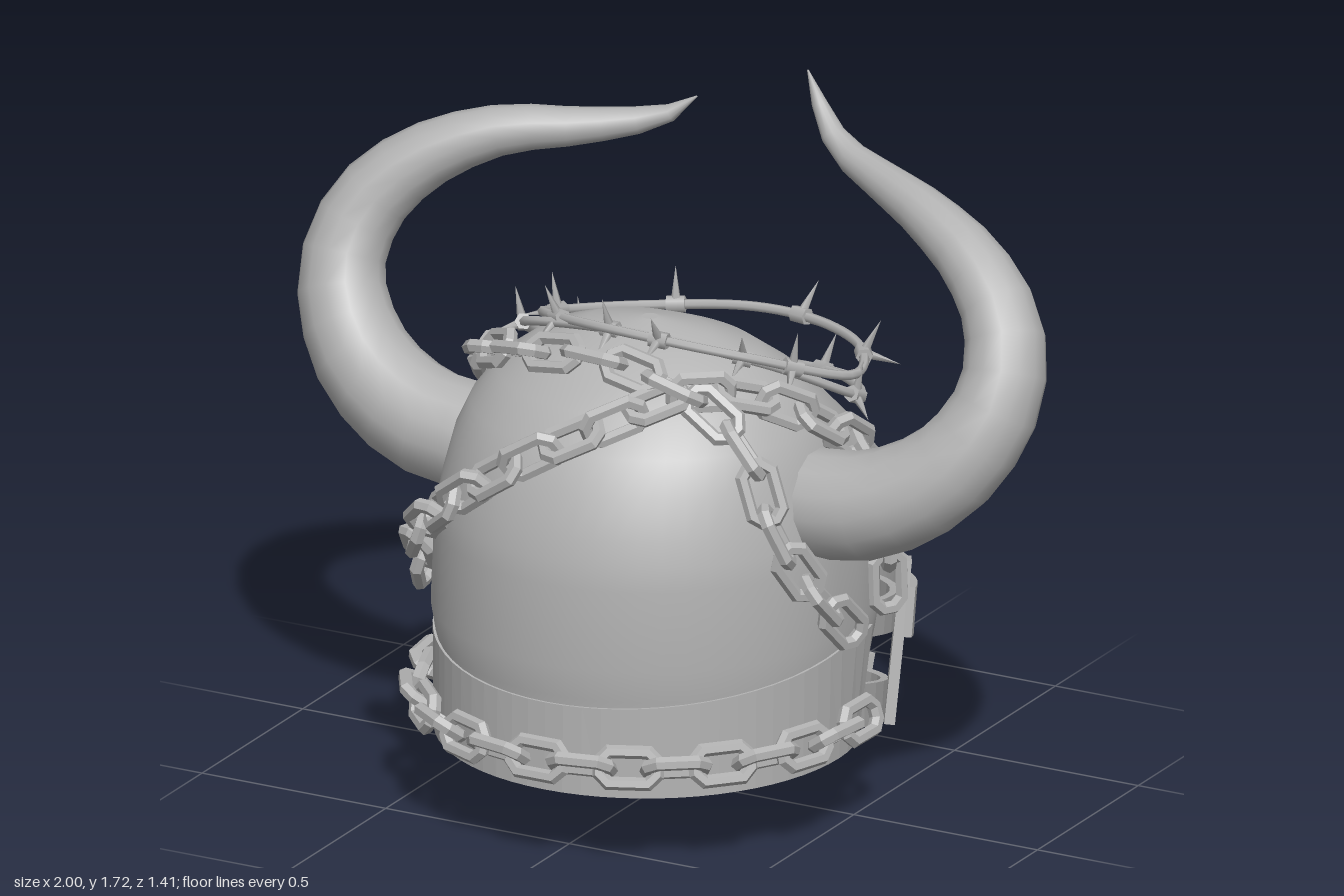
import * as THREE from 'three';

const V = (x, y, z) => new THREE.Vector3(x, y, z);
const rad = THREE.MathUtils.degToRad;
const { smoothstep, clamp, lerp } = THREE.MathUtils;
const CZ = 0.1; // helmet axis in z

// Skin over closed loops of points, with end caps
function loft(rings, flat = false) {
  const n = rings[0].length, pos = [], idx = [];
  rings.forEach(r => r.forEach(p => pos.push(p.x, p.y, p.z)));
  for (let i = 0; i < rings.length - 1; i++)
    for (let j = 0; j < n; j++) {
      const a = i * n + j, b = i * n + (j + 1) % n;
      idx.push(a, b, b + n, a, b + n, a + n);
    }
  [[rings[0], true], [rings[rings.length - 1], false]].forEach(([ring, first]) => {
    const base = pos.length / 3;
    const c = ring.reduce((s, p) => s.add(p), V(0, 0, 0)).divideScalar(n);
    [...ring, c].forEach(p => pos.push(p.x, p.y, p.z));
    for (let j = 0; j < n; j++) {
      const a = base + j, b = base + (j + 1) % n;
      first ? idx.push(b, a, base + n) : idx.push(a, b, base + n);
    }
  });
  let g = new THREE.BufferGeometry();
  g.setAttribute('position', new THREE.Float32BufferAttribute(pos, 3));
  g.setIndex(idx);
  if (flat) g = g.toNonIndexed();
  g.computeVertexNormals();
  return g;
}

// Helmet profile: y, half width, front z, back z
const PROFILE = [
  [0.18, 0.5, 0.61, -0.36], [0.32, 0.505, 0.61, -0.4], [0.42, 0.51, 0.615, -0.41],
  [0.5, 0.522, 0.63, -0.415], [0.7, 0.515, 0.62, -0.415], [0.76, 0.507, 0.607, -0.42],
  [0.82, 0.495, 0.595, -0.455], [0.92, 0.47, 0.56, -0.375], [1.0, 0.435, 0.51, -0.3],
  [1.08, 0.375, 0.44, -0.21], [1.15, 0.28, 0.34, -0.11], [1.195, 0.16, 0.22, 0],
  [1.215, 0.02, 0.12, 0.08],
];
// Point on the helmet: t = angle from the front towards +x; the back of the face is squarer
function surface(t, y, off = 0) {
  let i = 0;
  while (i < PROFILE.length - 2 && PROFILE[i + 1][0] < y) i++;
  const a = PROFILE[i], b = PROFILE[i + 1];
  const k = clamp((y - a[0]) / (b[0] - a[0]), 0, 1);
  const [, rx, zf, zb] = a.map((v, m) => lerp(v, b[m], k));
  const s = Math.sin(t), c = Math.cos(t);
  const e = c > 0 ? 1 : 1 - 0.2 * smoothstep(y, 0.2, 0.45) * (1 - smoothstep(y, 0.84, 1));
  const p = V(rx * Math.sign(s) * Math.abs(s) ** e, y,
    CZ + Math.sign(c) * Math.abs(c) ** e * (c > 0 ? zf - CZ : CZ - zb));
  return p.addScaledVector(outward(p), off);
}
const outward = p => V(p.x, Math.max(0, p.y - 0.75), p.z - CZ).normalize();

// Curved flat strip; f(s) gives [inner low, inner high, outer high, outer low]
const strip = (n, f) => loft(Array.from({ length: n + 1 }, (_, i) => f(i / n)), true);

export function createModel() {
  const root = new THREE.Group();
  root.name = 'hornedHelmet';
  const steel = new THREE.MeshStandardMaterial({ color: 0xb2b2b2 });
  steel.name = 'grey';
  const add = (name, geo, parent = root) => {
    const m = new THREE.Mesh(geo, steel);
    m.name = name;
    parent.add(m);
    return m;
  };
  const group = name => {
    const g = new THREE.Group();
    g.name = name;
    root.add(g);
    return g;
  };
  const orient = (m, x, y, z, p) => {
    m.quaternion.setFromRotationMatrix(new THREE.Matrix4().makeBasis(x, y, z));
    m.position.copy(p);
  };

  // Helmet shell and its front band
  add('helmetShell', loft(PROFILE.map(([y]) =>
    Array.from({ length: 56 }, (_, j) => surface(j / 56 * Math.PI * 2, y)))));
  add('lowerBand', strip(40, s => {
    const t = rad(-106 + 212 * s), top = 0.46 - 0.06 * Math.max(0, Math.cos(t));
    return [surface(t, 0.18, -0.02), surface(t, top, -0.02), surface(t, top, 0.006), surface(t, 0.18, 0.015)];
  }));

  // Horns: centre line x, y, z and radius; the last points differ per side
  const hornBase = [[0.42, 0.82, 0.11, 0.135], [0.62, 0.85, 0.11, 0.132], [0.8, 0.96, 0.07, 0.12],
    [0.895, 1.13, 0, 0.105], [0.87, 1.28, -0.07, 0.097], [0.76, 1.4, -0.13, 0.082], [0.58, 1.485, -0.2, 0.062]];
  const leftTip = [[0.42, 1.52, -0.27, 0.047], [0.28, 1.56, -0.33, 0.034], [0.21, 1.64, -0.36, 0.02], [0.18, 1.725, -0.355, 0.002]];
  const rightTip = [[0.4, 1.503, -0.28, 0.046], [0.26, 1.525, -0.34, 0.032], [0.18, 1.555, -0.365, 0.018], [0.13, 1.597, -0.37, 0.002]];
  [['leftHorn', 1, leftTip], ['rightHorn', -1, rightTip]].forEach(([name, side, tip]) => {
    const pts = [...hornBase, ...tip], n = 20;
    const curve = new THREE.CatmullRomCurve3(pts.map(p => V(p[0] * side, p[1], p[2])));
    const fr = curve.computeFrenetFrames(n);
    const rings = fr.normals.map((N, i) => {
      const u = curve.getUtoTmapping(i / n) * (pts.length - 1), k = Math.min(Math.floor(u), pts.length - 2);
      const r = lerp(pts[k][3], pts[k + 1][3], u - k), c = curve.getPointAt(i / n);
      return Array.from({ length: 14 }, (_, j) => {
        const a = j / 14 * Math.PI * 2;
        return c.clone().addScaledVector(N, r * Math.cos(a)).addScaledVector(fr.binormals[i], r * Math.sin(a));
      });
    });
    add(name, loft(rings));
  });

  // Chain link: chunky octagonal ring stretched along x
  let link = new THREE.TorusGeometry(0.041, 0.0175, 6, 8).rotateZ(Math.PI / 8);
  const lp = link.attributes.position;
  for (let i = 0; i < lp.count; i++) lp.setX(i, lp.getX(i) + Math.sign(lp.getX(i)) * 0.032);
  link = link.toNonIndexed();
  link.computeVertexNormals();
  function chain(name, pts, off) {
    const g = group(name);
    const curve = new THREE.CatmullRomCurve3(pts.map(([t, y]) => surface(rad(t), y, off)));
    const n = Math.round(curve.getLength() / 0.112);
    for (let i = 0; i <= n; i++) {
      const p = curve.getPointAt(i / n), x = curve.getTangentAt(i / n);
      const side = outward(p).cross(x).normalize();
      const z = x.clone().cross(side).applyAxisAngle(x, i % 2 ? 0.95 : -0.3);
      orient(add('chainLink', link, g), x, z.clone().cross(x), z, p);
    }
  }
  chain('rimChain', Array.from({ length: 17 }, (_, i) => [-94 + i * 11.75, 0.27]), 0.048);
  chain('diagonalChain', [[-77, 0.53], [-60, 0.67], [-33, 0.84], [-10, 0.97], [14, 1.06], [40, 1.11],
    [68, 1.09], [93, 1.0], [107, 0.85], [107, 0.7], [107, 0.57]], 0.035);
  chain('crownChain', [[85, 0.55], [73, 0.67], [63, 0.82], [58, 0.98], [46, 1.09], [22, 1.14], [-4, 1.155],
    [-32, 1.14], [-62, 1.1], [-90, 1.02], [-107, 0.85], [-107, 0.7], [-107, 0.57]], 0.035);

  // Barbed wire: two loops with wrapped barbs
  const wires = group('barbedWire');
  const wrap = new THREE.CylinderGeometry(0.021, 0.021, 0.045, 6);
  const spike = new THREE.ConeGeometry(0.014, 0.095, 5).translate(0, 0.0475, 0);
  [
    [[-0.36, 1.1, -0.1], [-0.27, 1.18, 0.12], [0, 1.225, 0.25], [0.3, 1.19, 0.18], [0.47, 1.1, -0.05],
      [0.4, 1.1, -0.22], [0.2, 1.09, -0.36], [0, 1.08, -0.39], [-0.25, 1.06, -0.32]],
    [[-0.39, 1.06, -0.05], [-0.31, 1.16, 0.14], [0, 1.21, 0.21], [0.34, 1.16, 0.13], [0.46, 1.03, -0.1],
      [0.32, 1.0, -0.27], [0.08, 0.96, -0.37], [-0.16, 0.92, -0.36], [-0.33, 0.99, -0.24]],
  ].forEach((pts, w) => {
    const curve = new THREE.CatmullRomCurve3(pts.map(p => V(...p)), true);
    add('wireStrand', new THREE.TubeGeometry(curve, 70, 0.012, 6, true), wires);
    for (let i = 0; i < 7; i++) {
      const u = (i + 0.5 * w) / 7, p = curve.getPointAt(u), t = curve.getTangentAt(u);
      const up = V(p.x * 0.5, 1, (p.z + 0.07) * 0.5).normalize();
      const barb = add('barbWrap', wrap, wires);
      barb.position.copy(p);
      barb.quaternion.setFromUnitVectors(V(0, 1, 0), t);
      [0.25 * (i % 3), 1.7 + 0.3 * (i % 2)].forEach(a => {
        const s = add('barbSpike', spike, wires);
        s.position.copy(p);
        s.quaternion.setFromUnitVectors(V(0, 1, 0), up.clone().applyAxisAngle(t, a).normalize());
      });
    }
  });

  // Rear vent: chamfered housing, raised frame and recessed panel
  const vent = group('rearVent');
  const ventShape = (w, lo, hi, c) => {
    const s = new THREE.Shape([[-w, lo], [w, lo], [w, hi - c], [w - c, hi], [c - w, hi], [-w, hi - c]]
      .map(p => new THREE.Vector2(...p)));
    s.holes.push(new THREE.Path([[-0.22, 0.48], [-0.22, 0.65], [0.22, 0.65], [0.22, 0.48]].map(p => new THREE.Vector2(...p))));
    return s;
  };
  const slab = (name, shape, z, depth) =>
    add(name, new THREE.ExtrudeGeometry(shape, { depth, bevelEnabled: false }), vent).position.z = z;
  slab('ventHousing', ventShape(0.3, 0.43, 0.77, 0.1), -0.51, 0.13);
  slab('ventFrame', ventShape(0.28, 0.44, 0.755, 0.09), -0.54, 0.03);
  add('ventPanel', new THREE.BoxGeometry(0.46, 0.2, 0.02), vent).position.set(0, 0.565, -0.47);

  // Muzzle guard: two sloping straps, upright bars on them and an outer plate on each strap
  const guard = group('muzzleGuard');
  const ease = a => Math.pow(Math.sin(a), 1.1);
  const upper = (a, h, o) => V((0.475 + o) * Math.cos(a), 0.42 - 0.18 * ease(a) + h * (0.08 + 0.03 * Math.sin(a)),
    -0.07 - (0.59 + o) * Math.sin(a) - h * 0.015);
  const lower = (a, h, o) => V((0.47 + o) * Math.cos(a), 0.2 - 0.18 * ease(a) + h * (0.11 - 0.015 * Math.sin(a)),
    -0.04 - (0.56 + o + h * 0.04) * Math.sin(a));
  [['upperStrap', upper, 0, 180, 0, 0], ['lowerStrap', lower, 0, 180, 0, 0],
    ['upperPlate', upper, 26, 80, 0.045, 0.15], ['lowerPlate', lower, 66, 160, 0.045, 0.2]]
    .forEach(([name, f, from, to, o, grow]) => add(name, strip(24, s => {
      const a = rad(lerp(from, to, s));
      return [f(a, -grow, o - 0.02), f(a, 1 + grow, o - 0.02), f(a, 1 + grow, o), f(a, -grow, o)];
    }), guard));
  [30, 72, 108, 150].forEach(d => {
    const a = rad(d), p0 = lower(a, 0, 0.012), p1 = upper(a, 1, 0.012);
    const y = p1.clone().sub(p0), len = y.length() + 0.08;
    y.normalize();
    const x = V(Math.cos(a), 0, -Math.sin(a)).cross(y).normalize();
    const bar = add('guardBar', new THREE.BoxGeometry(0.07, len, 0.026), guard);
    orient(bar, x, y, x.clone().cross(y), p0.addScaledVector(y, len / 2));
  });

  return root;
}
